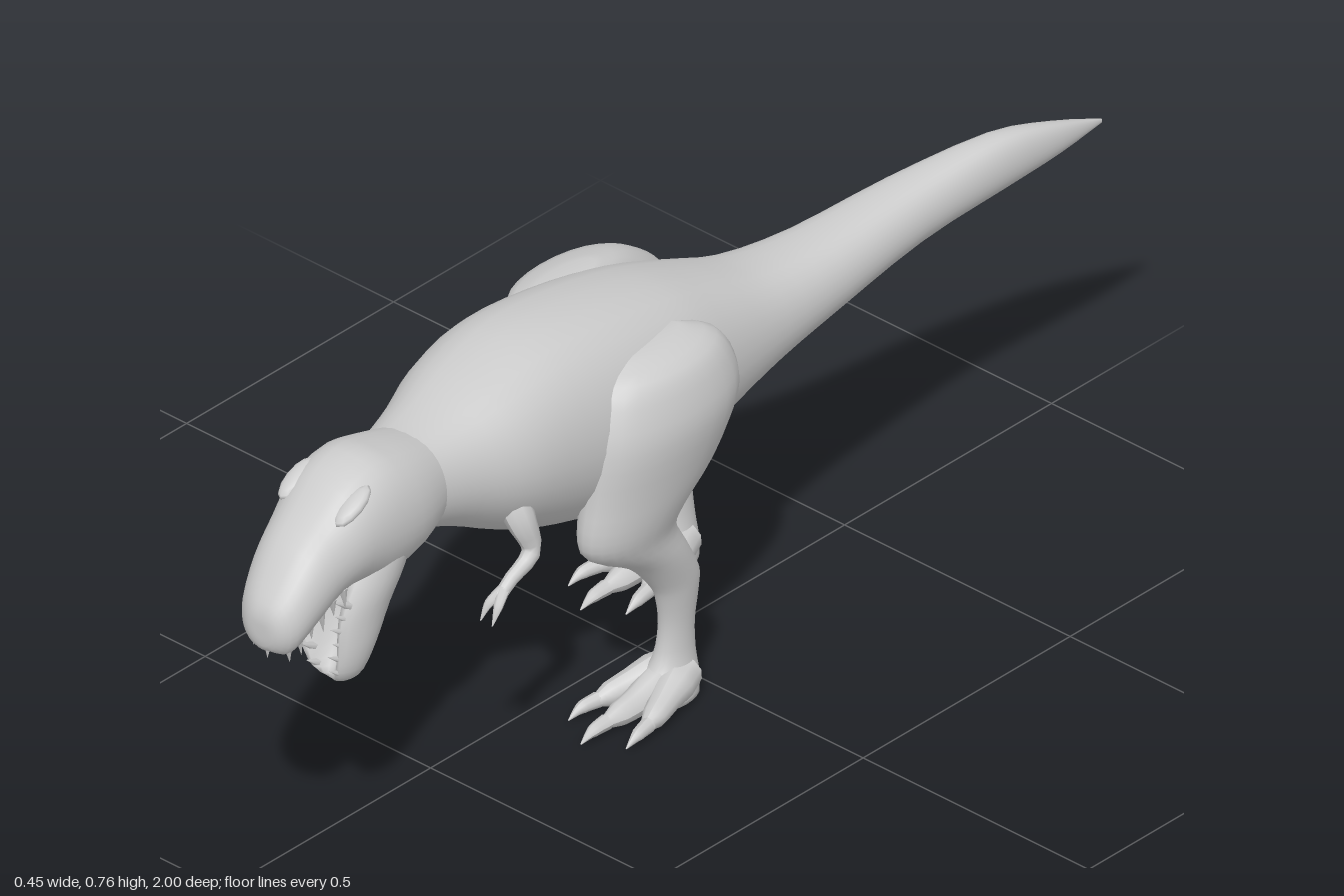
import * as THREE from 'three';

const grey = new THREE.MeshStandardMaterial({ color: 0xcccccc });

function part(name, geometry, parent) {
  const mesh = new THREE.Mesh(geometry, grey);
  mesh.name = name;
  parent.add(mesh);
  return mesh;
}

// Uniform Catmull-Rom blend of four section rows
function blend(p0, p1, p2, p3, t) {
  return p1.map((b, k) => {
    const a = p0[k], c = p2[k], d = p3[k];
    return b + 0.5 * t * (c - a + t * (2 * a - 5 * b + 4 * c - d + t * (3 * (b - c) + d - a)));
  });
}

// Smooth skin over sections [position, centre x, half width, low, high, dent].
// axis 'z': rows run towards +z and low/high are y; axis 'y': rows run down and low/high are z.
// A positive dent hollows the high side, a negative one the low side.
function loft(rows, axis, sides = 24, steps = 3) {
  const full = rows.map(r => [...r, 0].slice(0, 6));
  const at = i => full[Math.max(0, Math.min(full.length - 1, i))];
  const sections = [];
  for (let i = 0; i < full.length - 1; i++)
    for (let s = 0; s < steps; s++) sections.push(blend(at(i - 1), at(i), at(i + 1), at(i + 2), s / steps));
  sections.push(at(full.length - 1));

  const pos = [], index = [];
  const put = (x, v, a) => (axis === 'z' ? pos.push(x, v, a) : pos.push(x, a, v));
  for (const [a, cx, half, lo, hi, dent] of sections)
    for (let j = 0; j < sides; j++) {
      const t = (j / sides) * Math.PI * 2;
      let c = Math.cos(t), s = Math.sin(t);
      // Broader shoulders on the upper half of sections along z
      if (axis === 'z' && s > 0) c = Math.sign(c) * Math.abs(c) ** 0.8;
      if (s * dent > 0) s *= 1 - Math.abs(dent) * s ** 8;
      put(cx + half * c, (lo + hi) / 2 + s * (hi - lo) / 2, a);
    }
  const n = sections.length;
  for (let i = 0; i < n - 1; i++)
    for (let j = 0; j < sides; j++) {
      const a = i * sides + j, b = i * sides + (j + 1) % sides;
      index.push(a, b, b + sides, a, b + sides, a + sides);
    }
  // End caps
  [0, n - 1].forEach((i, end) => {
    const [a, cx, , lo, hi] = sections[i];
    put(cx, (lo + hi) / 2, a);
    for (let j = 0; j < sides; j++) {
      const p = i * sides + j, q = i * sides + (j + 1) % sides;
      index.push(n * sides + end, end ? p : q, end ? q : p);
    }
  });
  const g = new THREE.BufferGeometry();
  g.setAttribute('position', new THREE.Float32BufferAttribute(pos, 3));
  g.setIndex(index);
  g.computeVertexNormals();
  return g;
}

// Tube through points whose radius follows a list of values
function taper(points, radii, sides = 10) {
  const curve = new THREE.CatmullRomCurve3(points.map(p => new THREE.Vector3(...p)));
  const n = 12, g = new THREE.TubeGeometry(curve, n, 1, sides);
  const p = g.attributes.position, v = new THREE.Vector3();
  for (let i = 0; i < p.count; i++) {
    const u = Math.floor(i / (sides + 1)) / n;
    const f = u * (radii.length - 1), k = Math.min(Math.floor(f), radii.length - 2);
    const r = THREE.MathUtils.lerp(radii[k], radii[k + 1], f - k);
    const c = curve.getPointAt(u);
    v.fromBufferAttribute(p, i).sub(c).multiplyScalar(r).add(c);
    p.setXYZ(i, v.x, v.y, v.z);
  }
  g.computeVertexNormals();
  return g;
}

function tooth(name, at, dir, length, parent) {
  const g = new THREE.ConeGeometry(0.008, length, 6);
  g.translate(0, length / 2 - 0.012, 0);
  const m = part(name, g, parent);
  m.position.set(...at);
  m.quaternion.setFromUnitVectors(new THREE.Vector3(0, 1, 0), new THREE.Vector3(...dir).normalize());
}

function makeHead() {
  const head = new THREE.Group();
  head.name = 'head';
  part('skull', loft([
    [0.56, 0.03, 0.08, 0.55, 0.70], [0.65, 0.043, 0.10, 0.52, 0.733],
    [0.73, 0.048, 0.105, 0.51, 0.755], [0.80, 0.052, 0.10, 0.53, 0.74, -0.3],
    [0.86, 0.058, 0.087, 0.525, 0.70, -1.2], [0.92, 0.067, 0.077, 0.497, 0.662, -1.2],
    [0.97, 0.075, 0.062, 0.475, 0.61, -0.8], [0.995, 0.08, 0.036, 0.5, 0.575], [1, 0.08, 0.012, 0.525, 0.55],
  ], 'z', 32), head);
  part('lowerJaw', loft([
    [0.62, 0.05, 0.09, 0.635, 0.79], [0.55, 0.053, 0.09, 0.66, 0.84, 0.7],
    [0.49, 0.06, 0.078, 0.695, 0.872, 1.3], [0.43, 0.073, 0.062, 0.735, 0.872, 1.3],
    [0.385, 0.082, 0.042, 0.765, 0.858, 0.8], [0.362, 0.085, 0.016, 0.78, 0.825],
  ], 'y', 32), head);
  for (const s of [-1, 1]) {
    const brow = part('brow', new THREE.SphereGeometry(1, 12, 8), head);
    brow.scale.set(0.02, 0.012, 0.045);
    brow.position.set(0.054 + s * 0.062, 0.708, 0.815);
    brow.rotation.x = 0.5;
    // Teeth along each side of both jaws
    for (let i = 0; i < 6; i++) {
      const k = i / 5;
      const size = 0.046 - 0.01 * (i % 2);
      tooth('upperTooth', [0.058 + 0.018 * k + s * (0.07 - 0.03 * k), 0.56 - 0.06 * k, 0.85 + 0.12 * k],
        [0, -1, -0.15], size, head);
      tooth('lowerTooth', [0.057 + 0.026 * k + s * (0.058 - 0.032 * k), 0.525 - 0.13 * k, 0.833 + 0.01 * k],
        [0, 0.6, 1], size, head);
    }
  }
  tooth('frontTooth', [0.077, 0.495, 0.978], [0, -1, 0], 0.034, head);
  return head;
}

// side: +1 left, -1 right; shift(y) moves the leg along z
function makeLeg(side, shift) {
  const leg = new THREE.Group();
  leg.name = side > 0 ? 'leftLeg' : 'rightLeg';
  const rows = [
    [0.695, 0.115, 0.025, 0.03, 0.17], [0.672, 0.135, 0.058, -0.03, 0.225], [0.62, 0.145, 0.073, -0.06, 0.255],
    [0.56, 0.15, 0.077, -0.06, 0.272], [0.47, 0.147, 0.067, -0.015, 0.282], [0.40, 0.145, 0.057, 0.055, 0.29],
    [0.355, 0.142, 0.05, 0.075, 0.27], [0.30, 0.142, 0.043, 0.048, 0.18], [0.24, 0.143, 0.033, 0.018, 0.125],
    [0.20, 0.143, 0.028, 0.017, 0.105], [0.14, 0.14, 0.025, 0.023, 0.095], [0.08, 0.138, 0.029, 0.02, 0.105],
    [0.035, 0.138, 0.042, 0.015, 0.14], [0.004, 0.138, 0.042, 0.015, 0.14],
  ].map(([y, x, w, a, b]) => [y, side * x, w, a + shift(y), b + shift(y)]);
  part('legSkin', loft(rows, 'y'), leg);

  const foot = new THREE.Group();
  foot.name = 'foot';
  foot.position.set(side * 0.138, 0, shift(0));
  leg.add(foot);
  for (const k of [-1, 0, 1]) {
    const len = k ? 0.205 : 0.245;
    part('toe', taper([[k * 0.012, 0.045, 0.05], [k * 0.032, 0.036, 0.11], [k * 0.05, 0.025, 0.165], [k * 0.058, 0.02, len]],
      [0.032, 0.034, 0.026, 0.021, 0.005]), foot);
    part('claw', taper([[k * 0.056, 0.022, len - 0.02], [k * 0.062, 0.019, len + 0.015], [k * 0.064, 0.007, len + 0.043]],
      [0.014, 0.011, 0.001], 8), foot);
  }
  return leg;
}

function makeArm(side) {
  const arm = new THREE.Group();
  arm.name = side > 0 ? 'leftArm' : 'rightArm';
  const x = d => 0.015 + side * (0.138 + d);
  part('armSkin', taper([[x(-0.05), 0.56, 0.43], [x(-0.018), 0.51, 0.43], [x(-0.003), 0.45, 0.42], [x(0), 0.42, 0.475], [x(0), 0.40, 0.5]],
    [0.03, 0.027, 0.018, 0.013, 0.011]), arm);
  for (const k of [-1, 1])
    part('finger', taper([[x(0), 0.41, 0.49], [x(k * 0.01), 0.39, 0.515], [x(k * 0.013), 0.363, 0.532]],
      [0.011, 0.008, 0.001], 8), arm);
  return arm;
}

export function createModel() {
  const model = new THREE.Group();
  model.name = 'dinosaur';
  // Tail, trunk and neck in one skin
  part('body', loft([
    [-1, 0.11, 0.002, 0.594, 0.602], [-0.9, 0.098, 0.02, 0.575, 0.638], [-0.78, 0.075, 0.037, 0.553, 0.66],
    [-0.6, 0.038, 0.058, 0.52, 0.64], [-0.4, 0.02, 0.08, 0.477, 0.624], [-0.25, 0.008, 0.102, 0.442, 0.636],
    [-0.12, 0, 0.132, 0.405, 0.68], [0, 0, 0.158, 0.37, 0.722], [0.15, 0, 0.172, 0.357, 0.753],
    [0.3, 0, 0.17, 0.39, 0.765], [0.42, 0.01, 0.153, 0.445, 0.748], [0.52, 0.02, 0.116, 0.5, 0.725],
    [0.6, 0.03, 0.093, 0.533, 0.716], [0.68, 0.045, 0.075, 0.55, 0.72],
  ], 'z', 32), model);
  model.add(makeHead());
  // The right leg trails behind the left, its hip less than its foot
  model.add(makeLeg(1, () => 0), makeLeg(-1, y => -0.3 + 0.75 * y ** 3));
  model.add(makeArm(1), makeArm(-1));
  return model;
}
